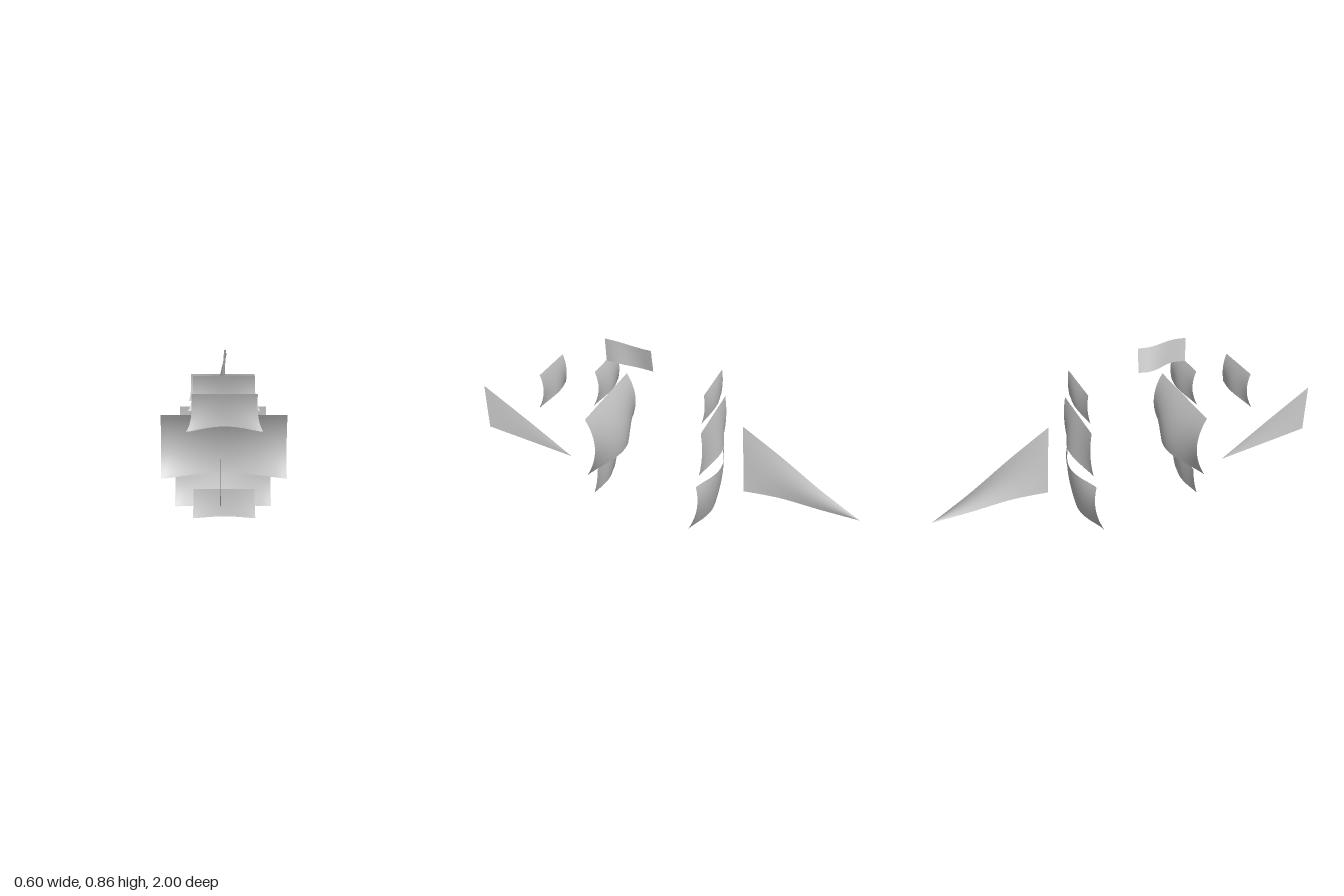
import * as THREE from 'three';

const material = new THREE.MeshStandardMaterial({ color: 0xcccccc, side: THREE.DoubleSide });

// Smooth sheet from a rule: point(u, v) -> [x, y, z], with u and v from 0 to 1
function sheet(name, nu, nv, point) {
  const geometry = new THREE.PlaneGeometry(1, 1, nu, nv);
  const pos = geometry.attributes.position;
  for (let i = 0; i < pos.count; i++) {
    pos.setXYZ(i, ...point(pos.getX(i) + 0.5, 0.5 - pos.getY(i)));
  }
  geometry.computeVertexNormals();
  const mesh = new THREE.Mesh(geometry, material);
  mesh.name = name;
  return mesh;
}

// Parabola through three values at t = 0, 0.5, 1
const through = ([a, b, c], t) =>
  a * (1 - t) * (1 - 2 * t) + 4 * b * t * (1 - t) + c * t * (2 * t - 1);

// Square sail: half widths, heights at side and centre [top, bottom],
// depths down the side and down the centre [top, middle, bottom]
function squareSail(name, { top, bottom, sideY, midY, sideZ, midZ }) {
  return sheet(name, 24, 16, (u, v) => {
    const s = 2 * u - 1;
    const belly = Math.pow(1 - s * s, 1.5);
    const half = top + (bottom - top) * v ** 4;
    const ySide = THREE.MathUtils.lerp(sideY[0], sideY[1], v);
    const yMid = THREE.MathUtils.lerp(midY[0], midY[1], v);
    return [
      s * half,
      THREE.MathUtils.lerp(ySide, yMid, belly),
      THREE.MathUtils.lerp(through(sideZ, v), through(midZ, v), belly),
    ];
  });
}

// Three-cornered sail: upper and lower edges as [z, y] points meeting at the tip
function triangularSail(name, upper, lower, x, bulge) {
  const curve = (pts) => new THREE.SplineCurve(pts.map((p) => new THREE.Vector2(...p)));
  const a = curve(upper), b = curve(lower);
  return sheet(name, 20, 10, (u, v) => {
    const p = a.getPoint(u).lerp(b.getPoint(u), v);
    return [x + bulge * Math.sin(Math.PI * v) * Math.sin(Math.PI * u), p.y, p.x];
  });
}

export function createModel() {
  const group = new THREE.Group();
  group.name = 'sails';

  const squares = {
    // rear mast
    rearTopsail: { top: 0.145, bottom: 0.17, sideY: [0.685, 0.518], midY: [0.685, 0.537],
      sideZ: [0.6, 0.583, 0.6], midZ: [0.6, 0.577, 0.568] },
    // middle mast
    middleTopsail: { top: 0.145, bottom: 0.17, sideY: [0.74, 0.573], midY: [0.74, 0.592],
      sideZ: [0.308, 0.29, 0.307], midZ: [0.308, 0.283, 0.275] },
    middleMainSail: { top: 0.298, bottom: 0.297, sideY: [0.555, 0.252], midY: [0.555, 0.265],
      sideZ: [0.305, 0.258, 0.303], midZ: [0.305, 0.232, 0.215] },
    middleLowerSail: { top: 0.145, bottom: 0.148, sideY: [0.204, 0.067], midY: [0.204, 0.071],
      sideZ: [0.31, 0.315, 0.33], midZ: [0.31, 0.306, 0.309] },
    // forward mast
    forwardTopsail: { top: 0.165, bottom: 0.178, sideY: [0.7, 0.559], midY: [0.7, 0.572],
      sideZ: [-0.245, -0.25, -0.24], midZ: [-0.245, -0.26, -0.262] },
    forwardMainSail: { top: 0.225, bottom: 0.232, sideY: [0.53, 0.305], midY: [0.53, 0.33],
      sideZ: [-0.25, -0.258, -0.245], midZ: [-0.25, -0.277, -0.297] },
    forwardLowerSail: { top: 0.25, bottom: 0.252, sideY: [0.252, 0.01], midY: [0.243, 0.003],
      sideZ: [-0.237, -0.243, -0.2], midZ: [-0.296, -0.285, -0.26] },
  };
  for (const [name, spec] of Object.entries(squares)) group.add(squareSail(name, spec));

  // fore-and-aft sails at the two ends
  group.add(triangularSail('bowSail',
    [[-0.4, 0.485], [-0.6, 0.347], [-0.8, 0.198], [-1, 0.065]],
    [[-0.415, 0.127], [-0.6, 0.12], [-0.8, 0.09], [-1, 0.065]], 0, 0.012));
  group.add(triangularSail('sternSail',
    [[1, 0.505], [0.76, 0.338], [0.52, 0.165]],
    [[0.985, 0.27], [0.75, 0.217], [0.52, 0.165]], -0.02, 0.002));

  // rippling pennant above the middle mast
  group.add(sheet('flag', 24, 8, (u, v) => {
    const ripple = 0.012 * Math.sin(2 * Math.PI * u) * (0.4 + 0.6 * v);
    return [
      ripple + 0.016 * u * (1 - v) - 0.008 * v,
      0.86 - 0.03 * u - 0.118 * v + 0.004 * Math.sin(2 * Math.PI * u),
      0.308 - 0.243 * u - 0.004 * v,
    ];
  }));

  return group;
}
